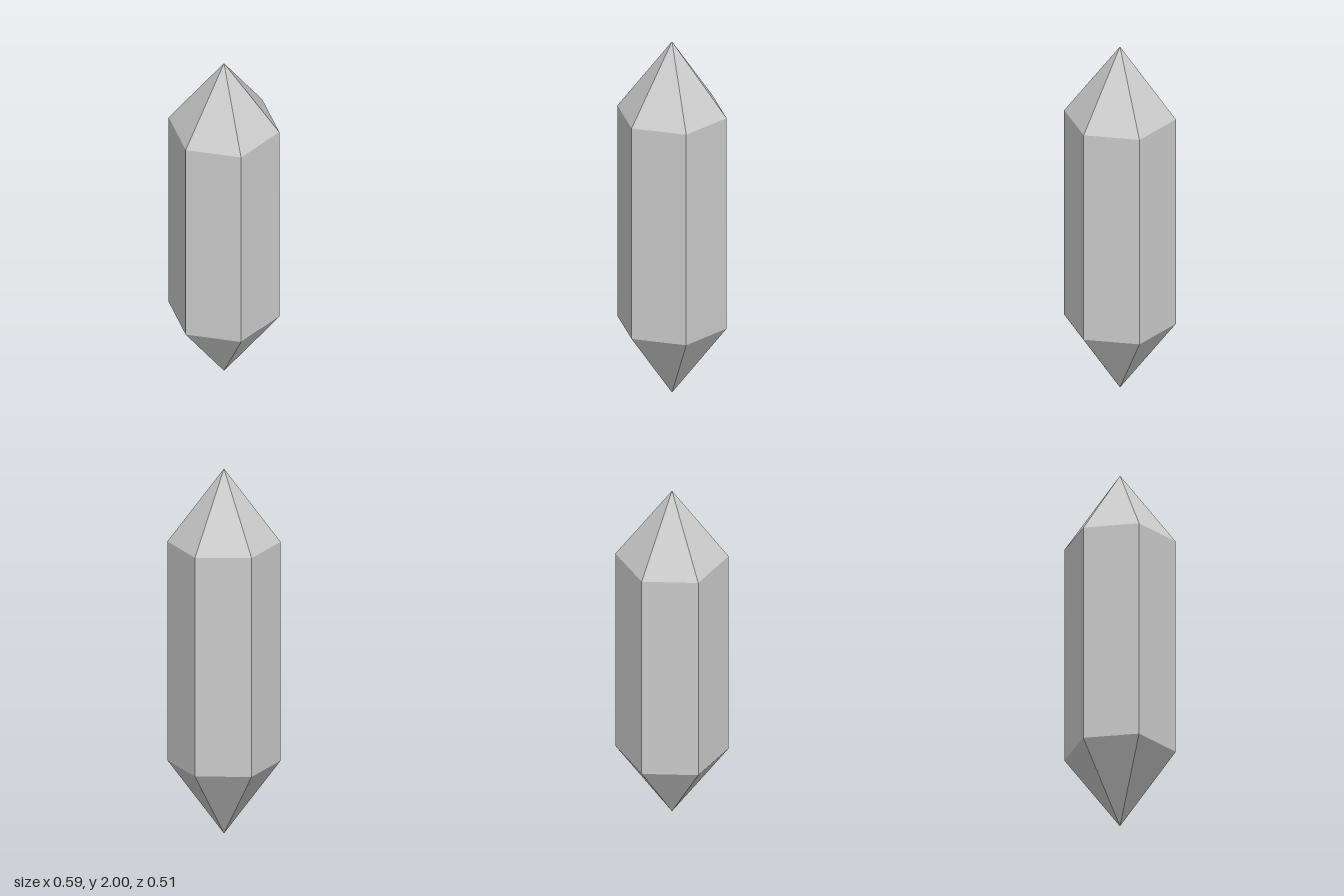
import * as THREE from 'three';

const SIDES = 6;
const RADIUS = 0.293;
const TIP = 0.4;
const HEIGHT = 2;

export function createModel() {
  const crystal = new THREE.Group();
  crystal.name = 'crystal';
  const material = new THREE.MeshStandardMaterial({ color: 0xcccccc, flatShading: true });

  // Open six-sided section, turned so that corners lie on the x axis
  const addSection = (name, topRadius, bottomRadius, height, y) => {
    const geometry = new THREE.CylinderGeometry(
      topRadius, bottomRadius, height, SIDES, 1, true, Math.PI / SIDES);
    const mesh = new THREE.Mesh(geometry, material);
    mesh.name = name;
    mesh.position.y = y;
    crystal.add(mesh);
  };

  // Lower point, straight shaft and upper point
  addSection('bottomPoint', RADIUS, 0, TIP, TIP / 2);
  addSection('shaft', RADIUS, RADIUS, HEIGHT - 2 * TIP, HEIGHT / 2);
  addSection('topPoint', 0, RADIUS, TIP, HEIGHT - TIP / 2);

  return crystal;
}
